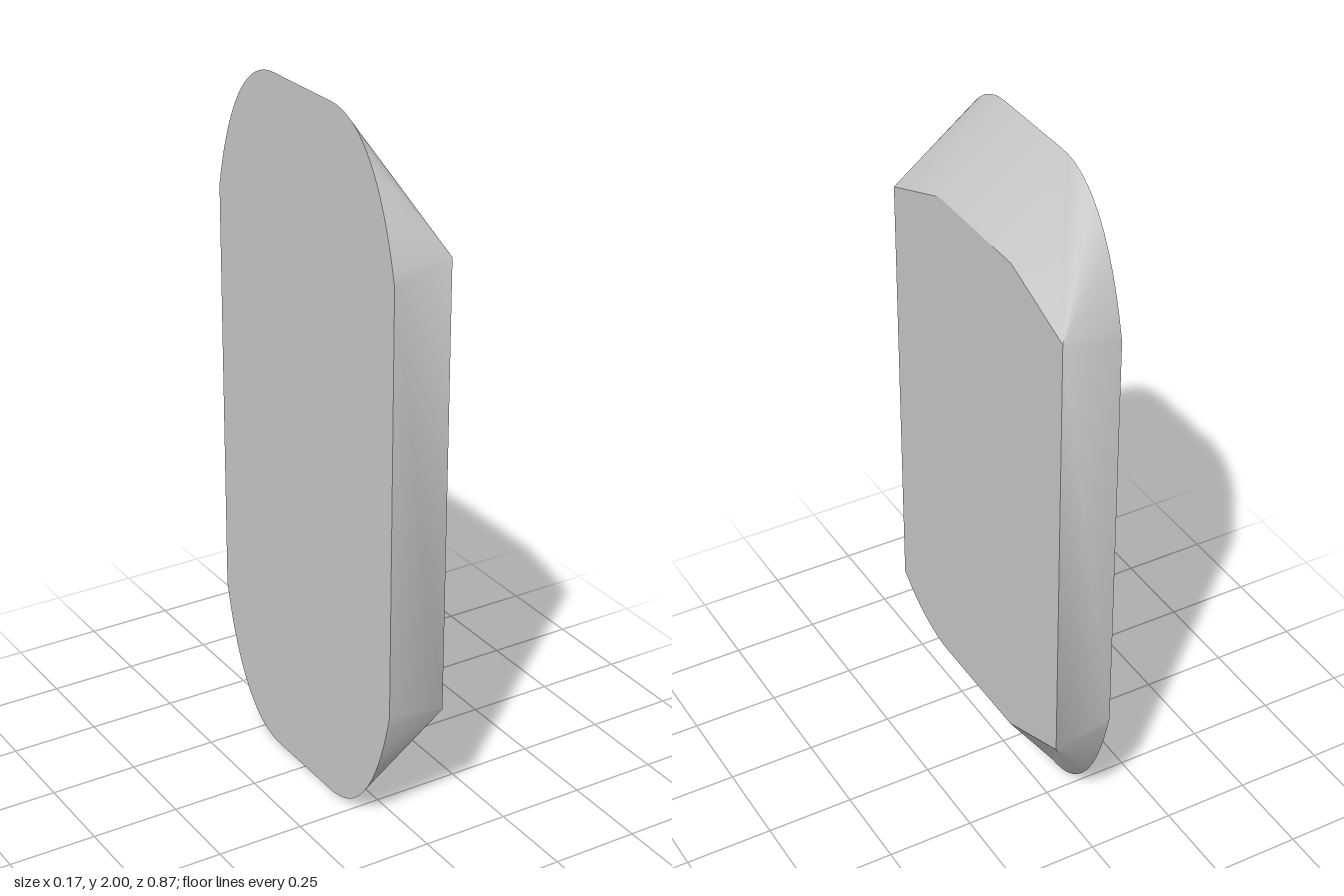
import * as THREE from 'three';
import { toCreasedNormals } from 'three/addons/utils/BufferGeometryUtils.js';

const X = 0.084, STEPS = 18;
const v2 = (z, y) => new THREE.Vector2(z, y);

// One corner, ordered from the long side to the end edge, as rows of [broad outline point, narrow outline point].
// Each row is (z, y); the bevel fans from the narrow corner across the broad curve.
function corner(zSign, broad, narrow, fanEnd) {
  const outer = new THREE.CubicBezierCurve(...broad);
  const inner = new THREE.QuadraticBezierCurve(...narrow);
  const rows = [];
  for (let i = 0; i <= STEPS; i++) {
    const t = i / STEPS;
    const s = fanEnd < 1 ? Math.max(0, (t - fanEnd) / (1 - fanEnd)) : 0;
    rows.push([outer.getPoint(t), inner.getPoint(s)]);
  }
  if (fanEnd >= 1) rows.push([outer.getPoint(1), inner.getPoint(1)]);
  rows.forEach(r => r.forEach(p => { p.x *= zSign; }));
  return rows;
}

export function createModel() {
  const group = new THREE.Group();
  const material = new THREE.MeshStandardMaterial({ color: 0xcccccc });

  // Broad outline corners and narrow outline corners
  const topBroad = [v2(0.435, 1.61), v2(0.385, 1.84), v2(0.29, 2), v2(0.14, 2)];
  const lowBroad = [v2(0.435, 0.39), v2(0.385, 0.16), v2(0.29, 0), v2(0.14, 0)];
  const topNarrow = [v2(0.435, 1.655), v2(0.31, 1.7025), v2(0.185, 1.75)];
  const lowStraight = [v2(0.435, 0.35), v2(0.31, 0.3), v2(0.185, 0.25)];
  const lowCurved = [v2(0.435, 0.363), v2(0.32, 0.26), v2(0.19, 0.25)];

  const rows = [
    ...corner(1, topBroad, topNarrow, 1),
    ...corner(-1, topBroad, topNarrow, 1).reverse(),
    ...corner(-1, lowBroad, lowStraight, 1),
    ...corner(1, lowBroad, lowCurved, 0.5).reverse(),
  ];

  const rim = [], broadFace = [], narrowFace = [];
  const tri = (out, a, b, c) => {
    const n = b.clone().sub(a).cross(c.clone().sub(a));
    if (n.length() > 1e-8) out.push(...a.toArray(), ...b.toArray(), ...c.toArray());
  };
  const at = (x, p) => new THREE.Vector3(x, p.y, p.x);
  const backCentre = new THREE.Vector3(-X, 1, 0), faceCentre = new THREE.Vector3(X, 1, 0);

  rows.forEach((row, i) => {
    const next = rows[(i + 1) % rows.length];
    const a0 = at(-X, row[0]), a1 = at(-X, next[0]);
    const b0 = at(X, row[1]), b1 = at(X, next[1]);
    tri(rim, a0, b0, a1);
    tri(rim, a1, b0, b1);
    tri(broadFace, backCentre, a0, a1);
    tri(narrowFace, faceCentre, b1, b0);
  });

  // Bevelled rim and the two flat faces
  const add = (name, positions) => {
    const geometry = new THREE.BufferGeometry();
    geometry.setAttribute('position', new THREE.Float32BufferAttribute(positions, 3));
    const mesh = new THREE.Mesh(toCreasedNormals(geometry, 0.55), material);
    mesh.name = name;
    group.add(mesh);
  };
  add('bevelledRim', rim);
  add('broadFace', broadFace);
  add('narrowFace', narrowFace);

  group.name = 'bevelledPlate';
  return group;
}
